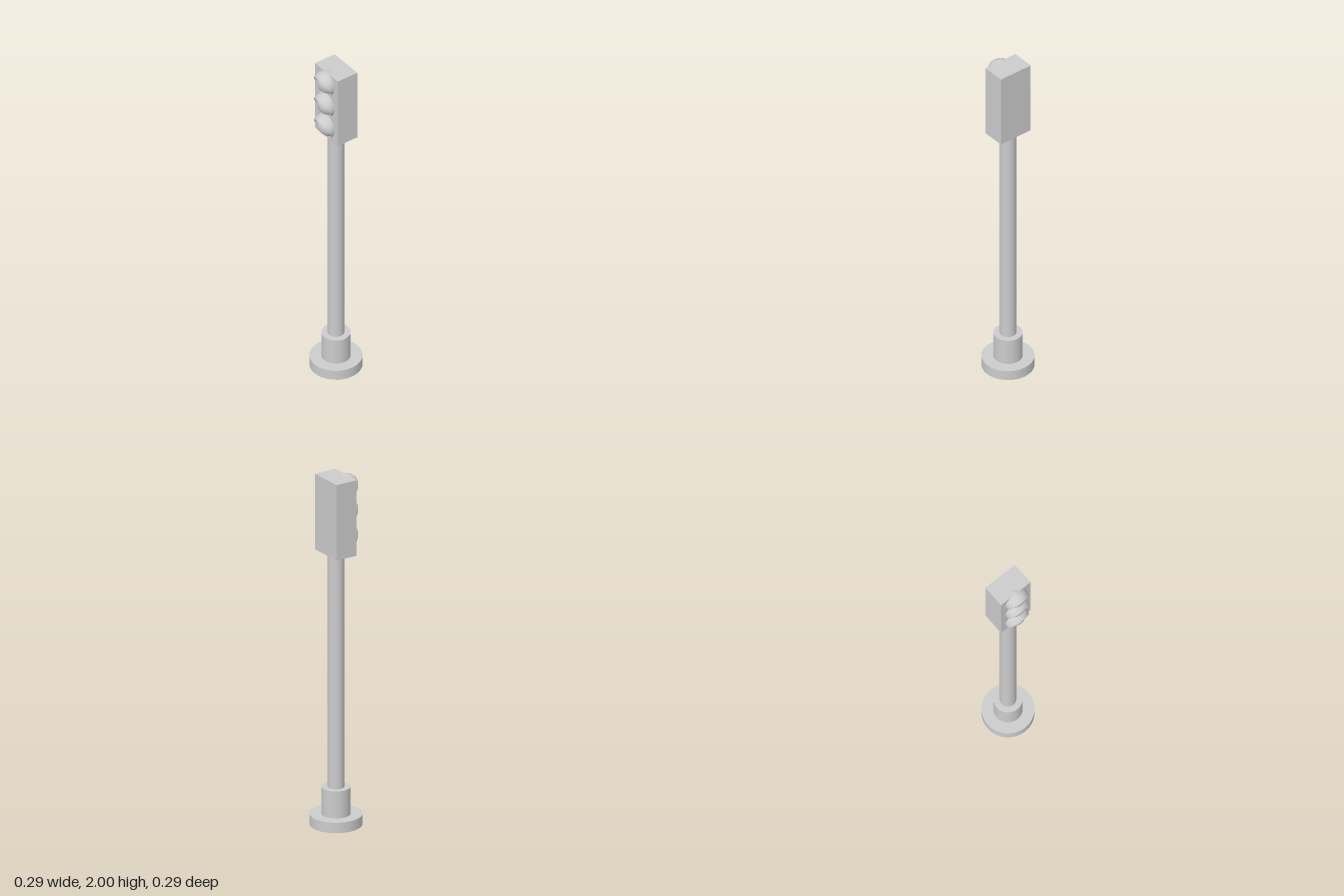
import * as THREE from 'three';

export function createModel() {
  const group = new THREE.Group();
  const grey = new THREE.MeshStandardMaterial({ color: 0xcccccc });
  const shell = new THREE.MeshStandardMaterial({ color: 0xcccccc, side: THREE.DoubleSide });

  const add = (name, geometry, y, z = 0, material = grey) => {
    const mesh = new THREE.Mesh(geometry, material);
    mesh.name = name;
    mesh.position.set(0, y, z);
    group.add(mesh);
  };
  // Upright round part between two heights
  const post = (name, radius, y0, y1) =>
    add(name, new THREE.CylinderGeometry(radius, radius, y1 - y0, 32), (y0 + y1) / 2);

  post('baseDisc', 0.143, 0, 0.06);
  post('baseCollar', 0.079, 0.06, 0.215);
  post('pole', 0.045, 0.215, 1.57);

  // Signal housing
  add('housing', new THREE.BoxGeometry(0.205, 0.435, 0.131), 1.7785, -0.001);

  // Three lamps, each under a hood: a hollow ball cut open by a tilted plane
  const cut = 1.17;
  const lampGeometry = new THREE.SphereGeometry(0.066, 32, 20);
  const hoodGeometry = new THREE.SphereGeometry(0.072, 32, 20, 0, Math.PI * 2, cut, Math.PI - cut);
  hoodGeometry.rotateX(2.034);
  ['top', 'middle', 'bottom'].forEach((place, i) => {
    const y = 1.928 - i * 0.143;
    add(place + 'Lamp', lampGeometry, y, 0.047);
    add(place + 'Hood', hoodGeometry, y, 0.065, shell);
  });

  return group;
}
